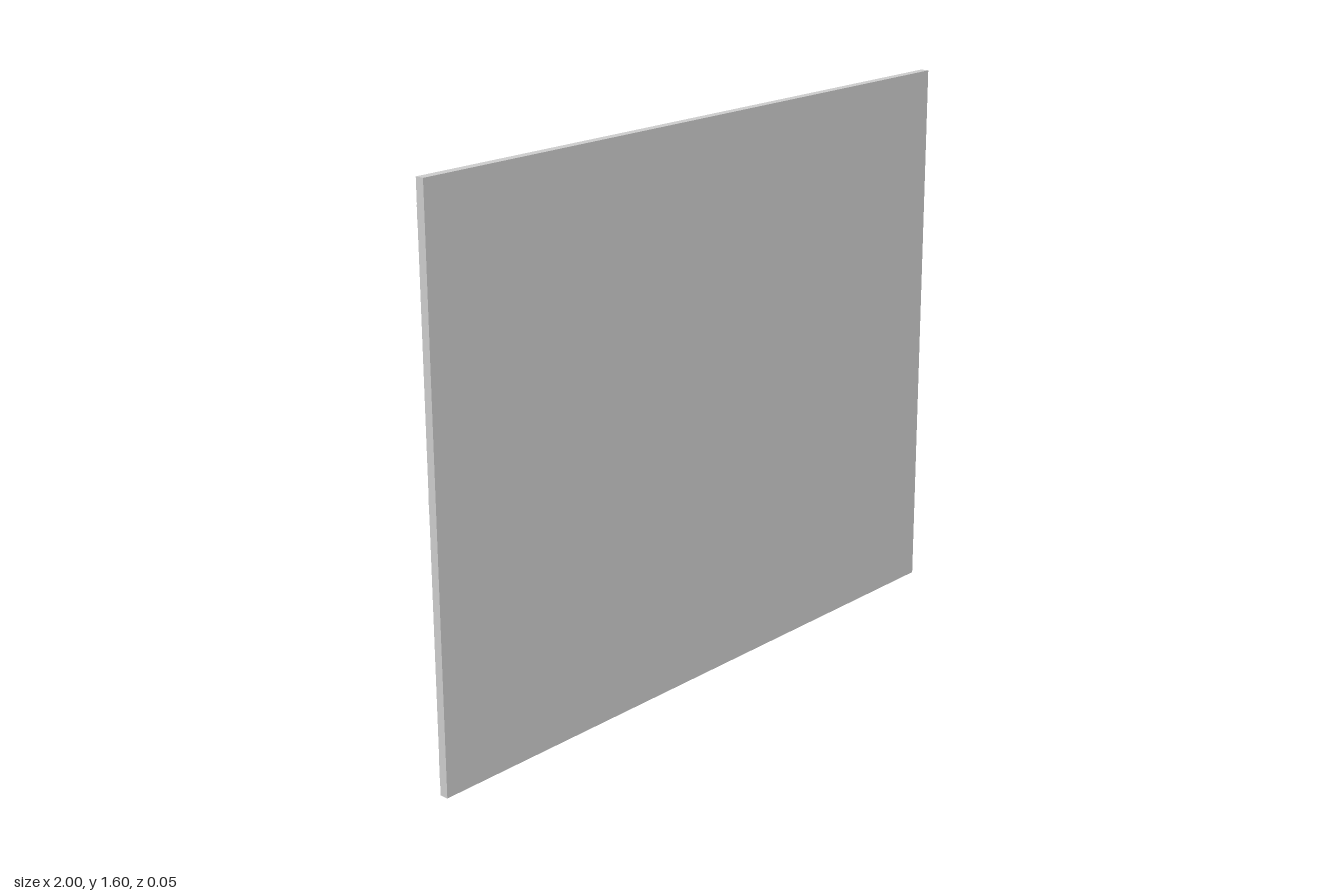
import * as THREE from 'three';

const FRONT = 0.027, FLOOR = 0.012, BACK = 0.002;
const W = 2, H = 1.6;

// Rectangle with chamfered corners, as a point list
function chamferedRect(x0, y0, x1, y1, c) {
  return [
    [x0 + c, y0], [x1 - c, y0], [x1, y0 + c], [x1, y1 - c],
    [x1 - c, y1], [x0 + c, y1], [x0, y1 - c], [x0, y0 + c],
  ].map(([x, y]) => new THREE.Vector2(x, y));
}

function extrude(shape, depth) {
  return new THREE.ExtrudeGeometry(shape, { depth, bevelEnabled: false });
}

export function createModel() {
  const group = new THREE.Group();
  const material = new THREE.MeshStandardMaterial({ color: 0xcccccc, flatShading: true });

  function add(name, geometry, x = 0, y = 0, z = 0, parent = group) {
    const mesh = new THREE.Mesh(geometry, material);
    mesh.name = name;
    mesh.position.set(x, y, z);
    parent.add(mesh);
    return mesh;
  }

  // Flat front sheet
  add('frontSheet', new THREE.BoxGeometry(W, H, FRONT - FLOOR), 0, H / 2, (FRONT + FLOOR) / 2);

  // Back frame: border and ribs around three shallow recesses
  const frame = new THREE.Shape([
    new THREE.Vector2(-W / 2, 0), new THREE.Vector2(W / 2, 0),
    new THREE.Vector2(W / 2, H), new THREE.Vector2(-W / 2, H),
  ]);
  for (const [x0, x1] of [[-0.92, -0.45], [-0.37, 0.37], [0.45, 0.92]]) {
    frame.holes.push(new THREE.Path(chamferedRect(x0, 0.035, x1, H - 0.035, 0.045)));
  }
  add('backFrame', extrude(frame, FLOOR - BACK), 0, 0, BACK);

  // Raised eight-sided plates in the side recesses
  const plate = extrude(new THREE.Shape(chamferedRect(-0.055, -0.08, 0.055, 0.08, 0.035)), 0.01);
  for (const side of [-1, 1]) {
    add(side > 0 ? 'leftPlate' : 'rightPlate', plate, side * 0.6, 1.465, BACK);
  }

  // Hook: an arm out of the frame, a leg hanging down, and a thin web between
  const hookWidth = 0.03, webWidth = 0.012;
  const profile = new THREE.Shape([
    [-0.002, 0.018], [0.021, 0.018], [0.021, -0.031], [0.029, -0.031],
    [0.029, 0.025], [0.023, 0.031], [-0.002, 0.031],
  ].map(([u, v]) => new THREE.Vector2(u, v)));
  const hookGeometry = extrude(profile, hookWidth);
  hookGeometry.translate(0, 0, -hookWidth / 2).rotateY(Math.PI / 2);
  const webGeometry = new THREE.BoxGeometry(webWidth, 0.047, 0.024);

  for (const x of [-0.96, -0.41, 0.41, 0.96]) {
    for (const y of [0.059, 0.779, 1.499]) {
      const hook = new THREE.Group();
      hook.name = 'hook';
      hook.position.set(x, y, BACK);
      add('hookBody', hookGeometry, 0, 0, 0, hook);
      add('hookWeb', webGeometry, 0, -0.005, -0.01, hook);
      group.add(hook);
    }
  }

  return group;
}
